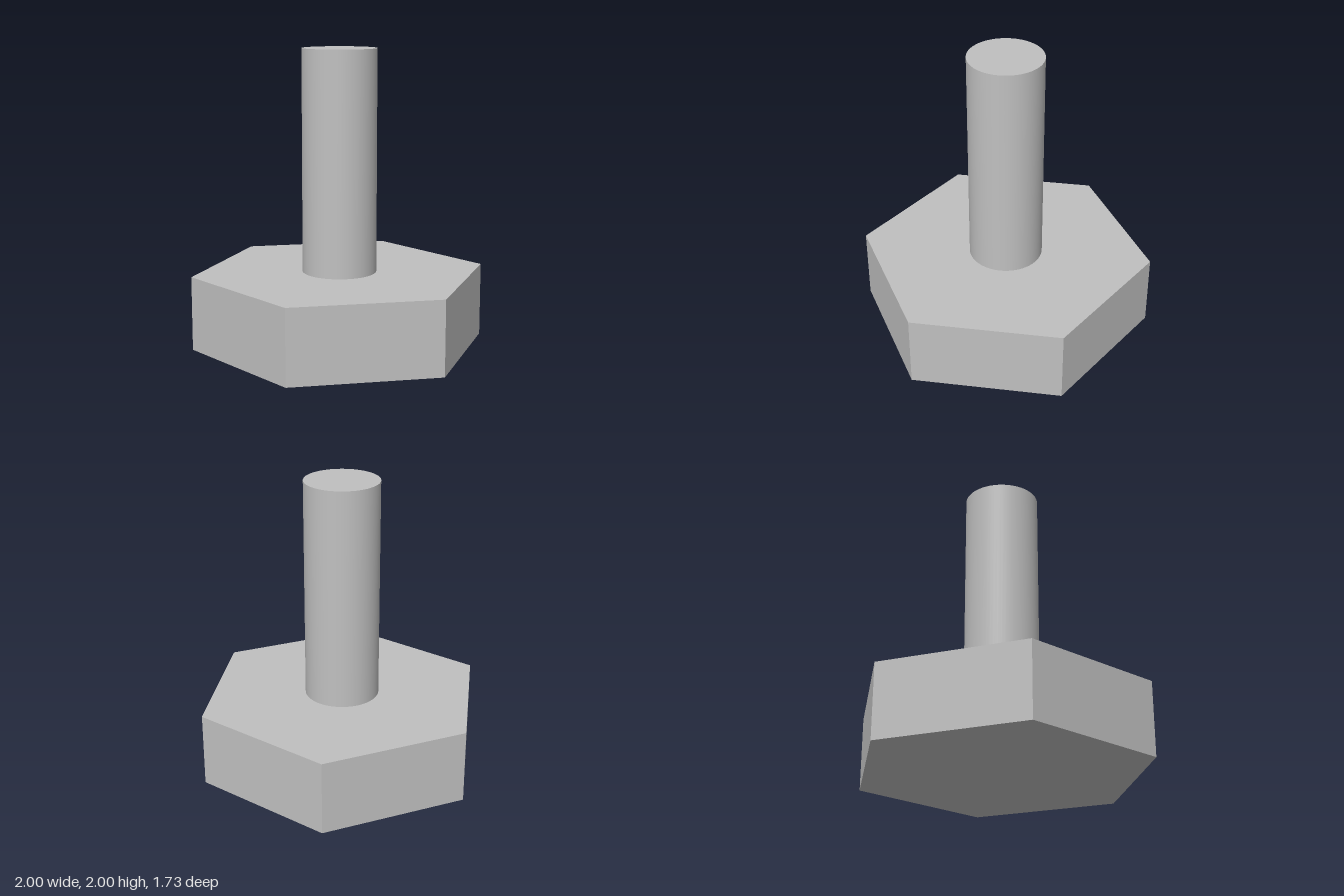
import * as THREE from 'three';

const HEAD_RADIUS = 1, HEAD_HEIGHT = 0.5;
const SHANK_RADIUS = 0.25, SHANK_HEIGHT = 1.5;

export function createModel() {
  const group = new THREE.Group();
  group.name = 'hexBolt';

  const steel = new THREE.MeshStandardMaterial({ color: 0xc0c0c0 });
  steel.name = 'steel grey';

  const addPart = (name, geometry, y) => {
    const mesh = new THREE.Mesh(geometry, steel);
    mesh.name = name;
    mesh.position.y = y;
    group.add(mesh);
  };

  // Hexagonal head: corners on the x axis, flat sides facing front and back
  const head = new THREE.CylinderGeometry(
    HEAD_RADIUS, HEAD_RADIUS, HEAD_HEIGHT, 6, 1, false, Math.PI / 2
  ).toNonIndexed();
  head.computeVertexNormals(); // crisp facets
  addPart('head', head, HEAD_HEIGHT / 2);

  // Smooth round shank standing on the head
  const shank = new THREE.CylinderGeometry(SHANK_RADIUS, SHANK_RADIUS, SHANK_HEIGHT, 64);
  addPart('shank', shank, HEAD_HEIGHT + SHANK_HEIGHT / 2);

  return group;
}
